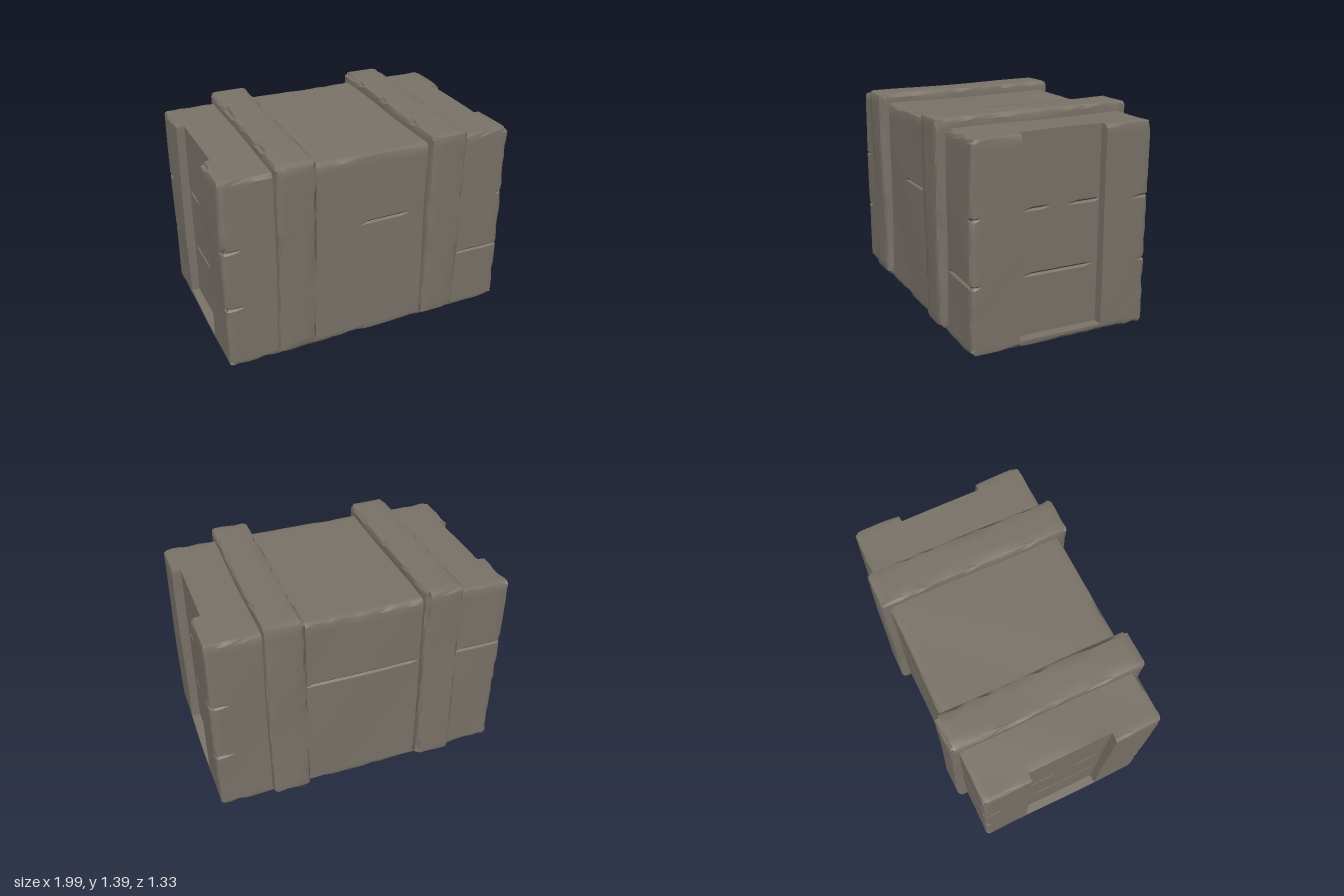
import * as THREE from 'three';
import { toCreasedNormals } from 'three/addons/utils/BufferGeometryUtils.js';

const BEVEL = 0.025;

// Repeatable noise 0..1 from three grid indices
function hash(i, j, k, seed) {
  const s = Math.sin(i * 12.99 + j * 78.23 + k * 37.72 + seed * 5.13) * 43758.545;
  return s - Math.floor(s);
}

// Grid lines along one axis: bevel lines, wanted extras, then an even fill
function gridLines(lo, hi, step, extras = []) {
  const lines = [lo, lo + BEVEL, hi - BEVEL, hi, ...extras];
  const n = Math.round((hi - lo) / step);
  for (let i = 1; i < n; i++) {
    const v = lo + ((hi - lo) * i) / n;
    if (lines.every((l) => Math.abs(l - v) > step * 0.35)) lines.push(v);
  }
  return lines.sort((a, b) => a - b);
}

// Box with chipped edges; rule(p, side) may carve it further
function wornBox(xs, ys, zs, seed, rule) {
  const axes = [xs, ys, zs];
  const n = axes.map((a) => a.length - 1);
  const geo = new THREE.BoxGeometry(1, 1, 1, ...n);
  const pos = geo.attributes.position;
  for (let v = 0; v < pos.count; v++) {
    const id = [0, 1, 2].map((a) => Math.round((pos.getComponent(v, a) + 0.5) * n[a]));
    const p = id.map((i, a) => axes[a][i]);
    const side = id.map((i, a) => (i === 0 ? -1 : i === n[a] ? 1 : 0));
    const extremes = side.filter((s) => s !== 0).length;
    const h = hash(id[0], id[1], id[2], seed);
    if (extremes >= 2) {
      const chip = 0.006 + 0.016 * h ** 4 + (extremes === 3 ? 0.01 : 0);
      side.forEach((s, a) => (p[a] -= s * chip));
    } else {
      // gentle unevenness of the hewn faces
      const wave = 0.003 * Math.sin(p[0] * 7 + p[1] * 5 + p[2] * 6 + seed);
      side.forEach((s, a) => (p[a] += s * wave));
    }
    if (rule) rule(p, side, axes.map((a, k) => a[id[k]]));
    pos.setXYZ(v, ...p);
  }
  geo.deleteAttribute('uv');
  return toCreasedNormals(geo, 0.6);
}

// Board joints and the stretches where they have opened: [height, from, to]
const JOINTS = [0.44, 0.85];
const FRONT_CRACKS = [[0.85, -0.09, 0.22], [0.44, 0.68, 1], [0.44, -1, -0.9], [0.85, -1, -0.88], [0.85, 0.93, 1]];
const BACK_CRACKS = [[0.85, -0.38, 0.36], [0.85, -1, -0.68], [0.44, 0.88, 1], [0.85, 0.9, 1]];
const END_CRACKS = [[0.85, -0.26, -0.08], [0.85, 0.06, 0.2], [0.44, -0.22, 0.21], [0.44, 0.55, 0.6], [0.85, 0.55, 0.6], [0.85, -0.6, -0.54], [0.44, -0.6, -0.55]];
const inCrack = (list, y, t) => list.some(([cy, a, b]) => Math.abs(cy - y) < 0.001 && t >= a && t <= b);

// Crate body with a recessed panel in each end, open at the top
function crateBody() {
  const xs = gridLines(-0.992, 0.988, 0.06);
  const ys = gridLines(0.004, 1.315, 0.07, [0.048, 0.05, ...JOINTS.flatMap((j) => [j - 0.013, j, j + 0.013])]);
  const zs = gridLines(-0.6, 0.6, 0.06, [-0.282, -0.28, 0.28, 0.282]);
  return wornBox(xs, ys, zs, 1, (p, side, g) => {
    const inPanel = Math.abs(g[2]) < 0.281 && g[1] > 0.049;
    if (inPanel) p[0] = THREE.MathUtils.clamp(p[0], -0.935, 0.928);
    if (side[2] && inCrack(side[2] > 0 ? FRONT_CRACKS : BACK_CRACKS, g[1], g[0])) p[2] -= side[2] * 0.012;
    if (side[0] && inCrack(END_CRACKS, g[1], g[2])) p[0] -= side[0] * 0.012;
    // notches where the joints meet the upright corners
    if (side[0] && side[2] && JOINTS.includes(g[1])) {
      p[0] -= side[0] * 0.012;
      p[2] -= side[2] * 0.012;
    }
    // the lid rises slightly to the back
    p[1] -= p[2] * 0.018 * (p[1] / 1.315);
  });
}

// Broad band round the front, top and back
function bandGeometry(x0, x1, seed) {
  const xs = gridLines(x0, x1, 0.08);
  const ys = gridLines(0.04, 1.378, 0.07);
  const zs = gridLines(-0.655, 0.655, 0.07);
  return wornBox(xs, ys, zs, seed, (p) => {
    const up = p[1] / 1.378;
    p[0] += (up - 0.5) * 0.008 - p[2] * 0.007;
    p[2] += (up - 0.5) * 0.02;
    p[1] -= p[2] * 0.018 * up;
  });
}

export function createModel() {
  const group = new THREE.Group();
  group.name = 'crate';
  const wood = new THREE.MeshStandardMaterial({ color: 0x7a7369 });
  wood.name = 'weathered wood';

  const add = (name, geo) => {
    const mesh = new THREE.Mesh(geo, wood);
    mesh.name = name;
    group.add(mesh);
  };
  add('crateBody', crateBody());
  add('rightBand', bandGeometry(-0.653, -0.4, 2));
  add('leftBand', bandGeometry(0.38, 0.635, 3));
  return group;
}
